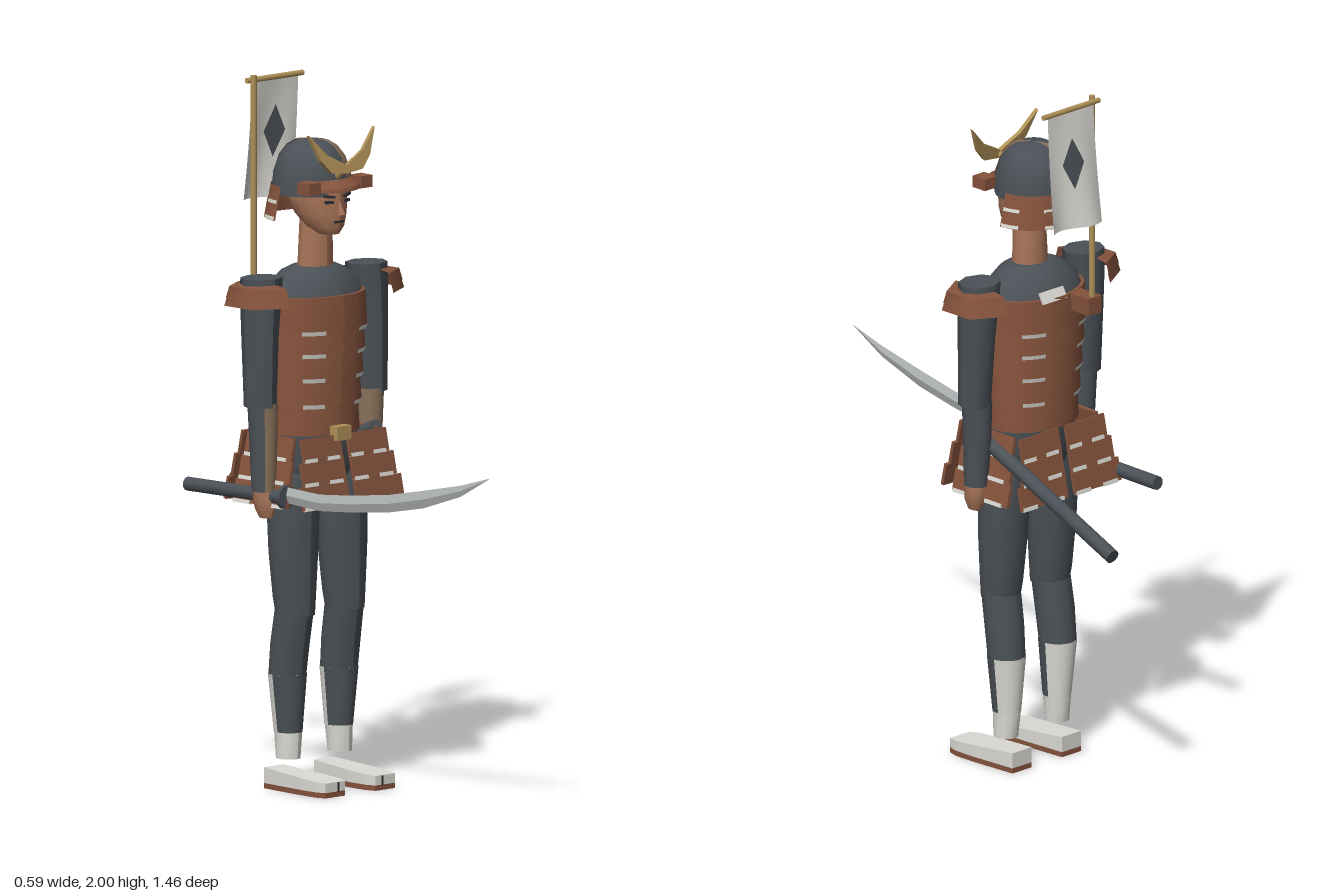
import * as THREE from 'three';

const mat = (name, color) => new THREE.MeshStandardMaterial({ name, color, side: THREE.DoubleSide });
const CLOTH = mat('slate cloth', 0x4b5157), BROWN = mat('brown lacquer', 0x85533c), SKIN = mat('skin', 0xa87558);
const GOLD = mat('gold', 0xb09259), WHITE = mat('white', 0xdcdbd5), STEEL = mat('steel', 0xb4b7b8);
const DARK = mat('dark', 0x2e2f33), TAN = mat('tan cloth', 0x87705a);
const rad = THREE.MathUtils.degToRad;

function add(parent, name, geo, material, x = 0, y = 0, z = 0) {
  const m = new THREE.Mesh(geo, material);
  m.name = name;
  m.position.set(x, y, z);
  parent.add(m);
  return m;
}
const box = (p, name, w, h, d, material, x, y, z) => add(p, name, new THREE.BoxGeometry(w, h, d), material, x, y, z);

// Skin over elliptical rings [y, cx, cz, rx, rz], bottom to top; angle 0 is the front, 90 is +x
function loft(p, name, rings, material, a0 = 0, a1 = 360, n = 16) {
  const pos = [], idx = [], full = a1 - a0 === 360;
  const ring = ([y, cx, cz, rx, rz]) => {
    const start = pos.length / 3;
    for (let j = 0; j <= n; j++) {
      const a = rad(a0 + (a1 - a0) * j / n);
      pos.push(cx + rx * Math.sin(a), y, cz + rz * Math.cos(a));
    }
    return start;
  };
  rings.forEach((r, i) => {
    const s = ring(r);
    if (i) for (let j = 0; j < n; j++) {
      const b = s - n - 1 + j, t = s + j;
      idx.push(b, b + 1, t + 1, b, t + 1, t);
    }
  });
  if (full) for (const [r, up] of [[rings[0], 0], [rings[rings.length - 1], 1]]) {
    const s = ring(r), c = pos.length / 3;
    pos.push(r[1], r[0], r[2]);
    for (let j = 0; j < n; j++) idx.push(c, s + j + (up ? 0 : 1), s + j + (up ? 1 : 0));
  }
  const g = new THREE.BufferGeometry();
  g.setAttribute('position', new THREE.Float32BufferAttribute(pos, 3));
  g.setIndex(idx);
  g.computeVertexNormals();
  return add(p, name, g, material);
}

// Straight round bar between two points
function rod(p, name, a, b, r, material, n = 10) {
  const A = new THREE.Vector3(...a), B = new THREE.Vector3(...b), d = B.clone().sub(A);
  const m = add(p, name, new THREE.CylinderGeometry(r, r, d.length(), n), material);
  m.position.copy(A).add(B).multiplyScalar(0.5);
  m.quaternion.setFromUnitVectors(new THREE.Vector3(0, 1, 0), d.normalize());
}

function makeTorso(p) {
  loft(p, 'hips', [[0.87, 0, -0.18, 0.11, 0.08], [0.93, 0, -0.18, 0.14, 0.1], [1.04, 0, -0.185, 0.138, 0.105]], CLOTH);
  loft(p, 'collar', [[1.39, 0, -0.187, 0.16, 0.118], [1.43, 0, -0.187, 0.145, 0.105],
    [1.465, 0, -0.185, 0.105, 0.08], [1.48, 0, -0.183, 0.07, 0.055]], CLOTH, 0, 360, 20);
  // Cuirass bands, each flaring over the one below, with white lacing
  const ys = [1.01, 1.095, 1.17, 1.24, 1.305, 1.4];
  for (let i = 0; i < 5; i++) {
    const r = 0.142 + 0.006 * i, y = ys[i];
    loft(p, 'cuirassBand', [[y, 0, -0.187, r + 0.004, r * 0.76 + 0.004], [ys[i + 1] + 0.004, 0, -0.187, r - 0.001, r * 0.76 - 0.001]], BROWN, 0, 360, 20);
    if (i) for (const a of [-48, 22, 132, 202])
      loft(p, 'lacing', [[y - 0.008, 0, -0.187, r + 0.002, r * 0.76 + 0.003], [y + 0.004, 0, -0.187, r + 0.006, r * 0.76 + 0.006]], WHITE, a, a + 26, 4);
  }
  box(p, 'backLacing', 0.09, 0.035, 0.008, WHITE, 0.03, 1.41, -0.3).rotation.x = 0.5;
  box(p, 'buckle', 0.055, 0.04, 0.03, GOLD, -0.012, 1.017, -0.062);
}

// Hanging skirt panel: three widening plates, each further out
function makePanel(p, name, s, x, z, spin, w, out, inner) {
  const g = new THREE.Group();
  g.name = name;
  g.position.set(x, 0, z);
  g.rotation.y = spin;
  p.add(g);
  for (let i = 0; i < 3; i++) {
    const ww = w + 0.015 * i, cx = inner ? s * (ww / 2 + 0.014) : 0, y = 0.98 - 0.065 * i, zz = out * (i + 0.5) / 3;
    box(g, 'skirtPlate', ww, 0.066, 0.01, BROWN, cx, y, zz).rotation.x = -0.22;
    for (const k of [-0.33, 0.25])
      box(g, 'skirtLacing', ww * 0.3, 0.011, 0.012, WHITE, cx + k * ww, y - 0.029, zz + 0.009).rotation.x = -0.22;
  }
}

function makeLimbs(p, s) {
  const L = (name, rings, m, a0 = 0, a1 = 360, n = 12) =>
    loft(p, name, rings.map(([y, x, ...r]) => [y, s * x, ...r]), m, s > 0 ? a0 : -a1, s > 0 ? a1 : -a0, n);
  // Leg, with shin guard in front and white legging behind
  L('thigh', [[0.5, 0.096, -0.158, 0.056, 0.058], [0.55, 0.096, -0.162, 0.062, 0.063], [0.68, 0.095, -0.167, 0.073, 0.07],
    [0.82, 0.093, -0.17, 0.078, 0.076], [0.9, 0.09, -0.175, 0.07, 0.08]], CLOTH);
  const shin = [[0.165, 0.098, -0.185, 0.038, 0.043], [0.33, 0.1, -0.186, 0.054, 0.056]];
  L('calf', [shin[1], [0.42, 0.099, -0.176, 0.058, 0.056], [0.52, 0.097, -0.16, 0.057, 0.057]], CLOTH);
  L('shinGuard', shin, CLOTH, -95, 95);
  L('legging', shin, WHITE, 95, 265);
  L('ankle', [[0.09, 0.1, -0.183, 0.034, 0.037], [0.166, 0.098, -0.185, 0.038, 0.043]], WHITE);
  // Split-toe shoe, narrowed at heel and toe
  for (const [name, y0, y1, m] of [['sole', 0, 0.015, BROWN], ['shoe', 0.015, 0.055, WHITE]]) {
    const g = new THREE.BoxGeometry(1, 1, 1, 1, 1, 8), v = g.attributes.position;
    for (let i = 0; i < v.count; i++) {
      const t = v.getZ(i) + 0.5, w = (0.075 + 0.02 * Math.min(1, t * 1.6)) * (t > 0.9 ? 0.8 : 1);
      const top = name === 'shoe' ? 0.06 - 0.018 * t : y1;
      v.setXYZ(i, v.getX(i) * w, v.getY(i) > 0 ? top : y0, -0.245 + 0.25 * t);
    }
    g.computeVertexNormals();
    add(p, name, g, m, s * 0.097);
  }
  box(p, 'toeSplit', 0.006, 0.028, 0.004, DARK, s * 0.085, 0.027, 0.004);
  // Arm, with the forearm light in front and slate outside
  L('sleeve', [[1.1, 0.215, -0.176, 0.045, 0.047], [1.3, 0.212, -0.18, 0.053, 0.052], [1.42, 0.206, -0.183, 0.062, 0.055],
    [1.465, 0.203, -0.183, 0.064, 0.055]], CLOTH, 0, 360, 8);
  const fore = [[0.86, 0.205, -0.172, 0.033, 0.036], [1.0, 0.204, -0.175, 0.037, 0.042], [1.11, 0.206, -0.176, 0.041, 0.045]];
  L('forearmFront', fore, TAN, -100, 40);
  L('forearmBack', fore, CLOTH, 40, 260);
  L('hand', [[0.785, 0.204, -0.165, 0.014, 0.022], [0.81, 0.204, -0.167, 0.025, 0.033], [0.84, 0.205, -0.17, 0.029, 0.036],
    [0.87, 0.205, -0.172, 0.028, 0.033]], SKIN, 0, 360, 10);
  // Shoulder guard wrapped round the outside of the arm
  L('shoulderGuard', [[1.388, 0.2, -0.182, 0.11, 0.112], [1.414, 0.2, -0.182, 0.102, 0.103]], BROWN, 0, 180, 3);
  L('shoulderGuard', [[1.41, 0.2, -0.182, 0.106, 0.107], [1.443, 0.2, -0.182, 0.096, 0.097]], BROWN, 0, 180, 3);
  L('shoulderStrap', [[1.442, 0.2, -0.182, 0.096, 0.097], [1.448, 0.2, -0.182, 0.062, 0.06]], BROWN, 0, 180, 3);
  // Skirt panels
  makePanel(p, 'frontSkirt', s, 0, -0.068, 0, 0.15, 0.045, true);
  makePanel(p, 'backSkirt', -s, 0, -0.302, Math.PI, 0.15, 0.04, true);
  makePanel(p, 'sideSkirt', s, s * 0.158, -0.187, s * Math.PI / 2, 0.19, 0.045, false);
}

function makeHead(p) {
  loft(p, 'neck', [[1.46, 0, -0.178, 0.055, 0.048], [1.62, 0, -0.175, 0.048, 0.045]], SKIN, 0, 360, 12);
  loft(p, 'head', [[1.575, 0, -0.125, 0.028, 0.035], [1.595, 0, -0.14, 0.05, 0.06], [1.63, 0, -0.157, 0.067, 0.08],
    [1.67, 0, -0.168, 0.076, 0.09], [1.73, 0, -0.172, 0.08, 0.093]], SKIN);
  const nose = add(p, 'nose', new THREE.ConeGeometry(0.014, 0.05, 4), SKIN, 0, 1.655, -0.076);
  nose.rotation.x = -0.25;
  for (const s of [-1, 1]) {
    box(p, 'eye', 0.026, 0.008, 0.008, DARK, s * 0.034, 1.669, -0.086).rotation.y = s * 0.35;
    box(p, 'brow', 0.034, 0.007, 0.008, DARK, s * 0.034, 1.685, -0.085).rotation.set(0, s * 0.35, s * 0.12);
    box(p, 'visorEnd', 0.045, 0.034, 0.05, BROWN, s * 0.1, 1.715, -0.098);
  }
  box(p, 'mouth', 0.036, 0.006, 0.008, DARK, 0, 1.612, -0.081);
  // Helmet bowl with two light ribs
  const bowl = (k) => [[1.685, 0.11], [1.74, 0.108], [1.785, 0.093], [1.815, 0.07], [1.83, 0.045], [1.834, 0.002]]
    .map(([y, r]) => [y + k, 0, -0.193, r + k, r + k]);
  loft(p, 'helmet', bowl(0), CLOTH, 0, 360, 24);
  loft(p, 'helmetRib', bowl(0.002), TAN, 18, 46, 3);
  loft(p, 'helmetRib', bowl(0.002), TAN, 183, 211, 3);
  loft(p, 'visor', [[1.7, 0, -0.193, 0.13, 0.145], [1.715, 0, -0.193, 0.128, 0.143], [1.73, 0, -0.193, 0.107, 0.107]], BROWN, -48, 48, 8);
  // Neck guard of two flaring bands
  for (const [y, r] of [[1.66, 0.115], [1.615, 0.125]]) {
    loft(p, 'neckGuard', [[y, 0, -0.193, r + 0.012, r + 0.006], [y + 0.05, 0, -0.193, r, r]], BROWN, 92, 268, 10);
    for (const a of [94, 150, 186, 242])
      loft(p, 'neckLacing', [[y + 0.002, 0, -0.193, r + 0.014, r + 0.008], [y + 0.012, 0, -0.193, r + 0.012, r + 0.007]], WHITE, a, a + 24, 3);
  }
  // Horned crest
  const half = [[0, -0.015], [0.06, -0.008], [0.095, 0.03], [0.127, 0.105], [0.07, 0.045], [0.025, 0.022], [0, 0.008]];
  const pts = [...half, ...half.slice(1, -1).reverse().map(([x, y]) => [-x, y])];
  const crest = new THREE.ExtrudeGeometry(new THREE.Shape(pts.map(([x, y]) => new THREE.Vector2(x, y))), { depth: 0.012, bevelEnabled: false });
  add(p, 'crest', crest, GOLD, 0, 1.765, -0.06).rotation.x = -0.2;
  rod(p, 'crestStem', [0, 1.735, -0.095], [0, 1.765, -0.055], 0.01, GOLD, 6);
}

function makeSwords(p) {
  // Curved blade from diamond sections [z, top, bottom]
  const pos = [], idx = [];
  [[-0.08, 0.88, 0.835], [0.05, 0.875, 0.828], [0.17, 0.886, 0.838], [0.33, 0.907, 0.857], [0.47, 0.935, 0.885],
    [0.62, 0.967, 0.935], [0.735, 1.0, 0.998]].forEach(([z, t, b], i) => {
    const c = (t + b) / 2, w = (t - b) * 0.14;
    pos.push(-0.2, t, z, -0.2 + w, c, z, -0.2, b, z, -0.2 - w, c, z);
    if (i) for (let j = 0; j < 4; j++) {
      const k = (j + 1) % 4, a = 4 * i - 4;
      idx.push(a + j, a + 4 + j, a + 4 + k, a + j, a + 4 + k, a + k);
    }
  });
  let g = new THREE.BufferGeometry();
  g.setAttribute('position', new THREE.Float32BufferAttribute(pos, 3));
  g.setIndex(idx.reverse());
  g = g.toNonIndexed();
  g.computeVertexNormals();
  add(p, 'blade', g, STEEL);
  rod(p, 'swordGuard', [-0.2, 0.852, -0.095], [-0.2, 0.852, -0.08], 0.034, CLOTH, 12);
  rod(p, 'swordHandle', [-0.197, 0.848, -0.09], [-0.197, 0.843, -0.488], 0.02, CLOTH);
  rod(p, 'scabbard', [0.163, 1.01, -0.1], [0.208, 0.785, -0.722], 0.021, CLOTH);
}

function makeBanner(p) {
  rod(p, 'bannerPole', [-0.058, 1.355, -0.367], [-0.058, 2, -0.367], 0.009, GOLD, 8);
  rod(p, 'bannerBar', [-0.075, 1.985, -0.377], [0.142, 1.985, -0.377], 0.008, GOLD, 8);
  box(p, 'poleSocket', 0.05, 0.05, 0.09, BROWN, -0.058, 1.378, -0.335);
  // Waving cloth; lower edge drifts back
  const wave = (x, y) => { const t = (1.98 - y) / 0.34; return -0.378 - t * (0.03 + 0.016 * Math.sin(x * 32 + 1 + t)); };
  const cloth = new THREE.PlaneGeometry(0.178, 0.34, 10, 10).translate(0.037, 1.81, 0);
  const emblem = new THREE.CircleGeometry(1, 4).scale(0.036, 0.075, 1).translate(0.043, 1.83, 0);
  const bend = (geo, off) => {
    const v = geo.attributes.position;
    for (let i = 0; i < v.count; i++) v.setZ(i, wave(v.getX(i), v.getY(i)) + off);
    geo.computeVertexNormals();
    return geo;
  };
  add(p, 'banner', bend(cloth, 0), WHITE);
  for (const off of [-0.004, 0.004]) add(p, 'bannerDiamond', bend(emblem.clone(), off), CLOTH);
}

export function createModel() {
  const model = new THREE.Group();
  model.name = 'armouredWarrior';
  makeTorso(model);
  for (const s of [-1, 1]) makeLimbs(model, s);
  makeHead(model);
  makeSwords(model);
  makeBanner(model);
  return model;
}
